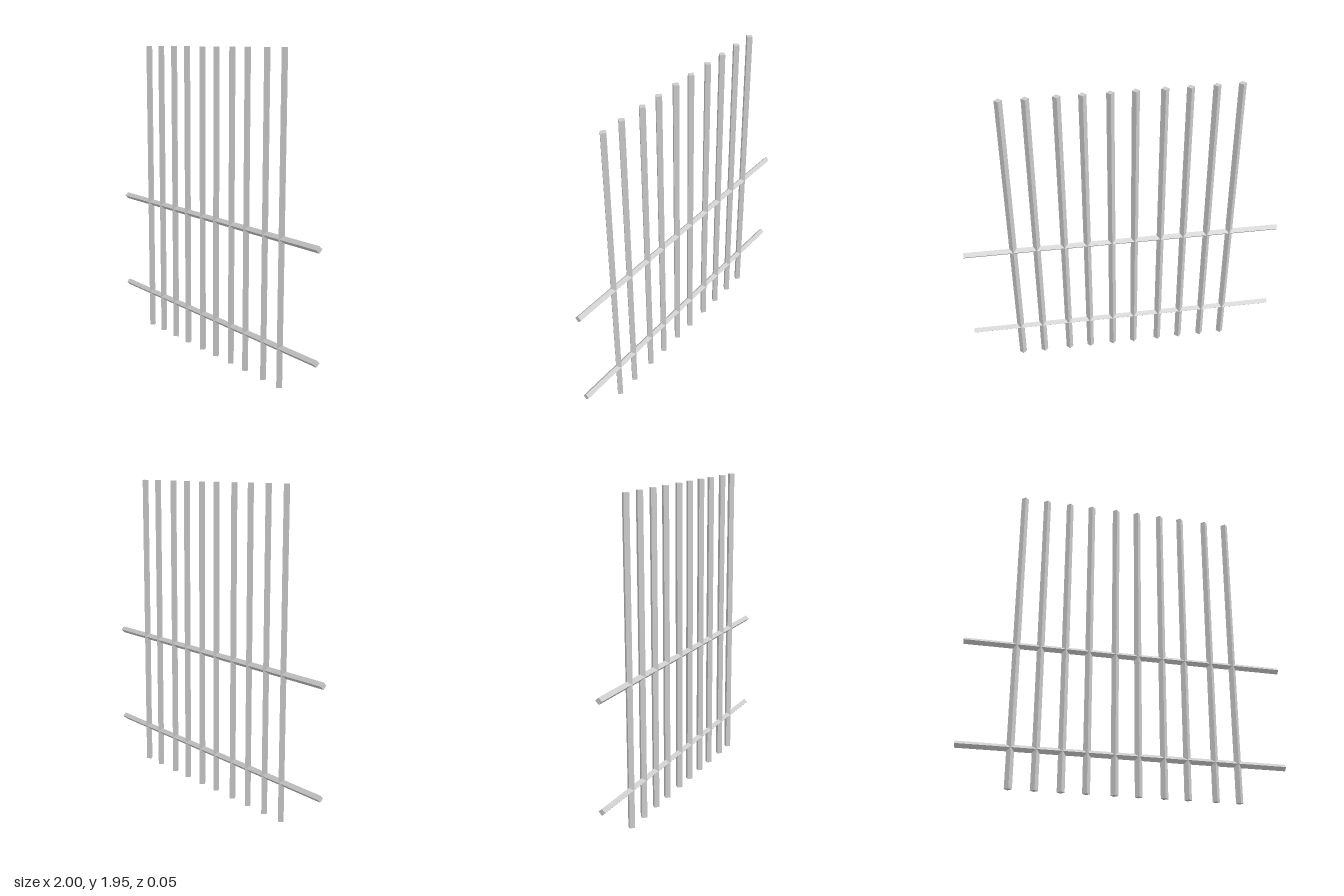
import * as THREE from 'three';

const material = new THREE.MeshStandardMaterial({ color: 0xcccccc, flatShading: true });

// Square bar standing on its corner: a four-sided prism, ridges facing front and back
function bar(name, length, diagonal) {
  const geometry = new THREE.CylinderGeometry(diagonal / 2, diagonal / 2, length, 4);
  const mesh = new THREE.Mesh(geometry, material);
  mesh.name = name;
  return mesh;
}

export function createModel() {
  const model = new THREE.Group();
  model.name = 'barGrille';

  // Upright bars, slightly unevenly spaced
  const height = 1.947;
  const xs = [-0.684, -0.537, -0.385, -0.238, -0.072, 0.072, 0.228, 0.372, 0.545, 0.692];
  xs.forEach((x, i) => {
    const upright = bar(`uprightBar${i + 1}`, height, 0.046);
    upright.position.set(x, height / 2, 0);
    model.add(upright);
  });

  // Two horizontal rails crossing the uprights
  for (const [name, y] of [['lowerRail', 0.24], ['upperRail', 0.885]]) {
    const rail = bar(name, 2, 0.042);
    rail.rotation.z = Math.PI / 2;
    rail.position.y = y;
    model.add(rail);
  }
  return model;
}
